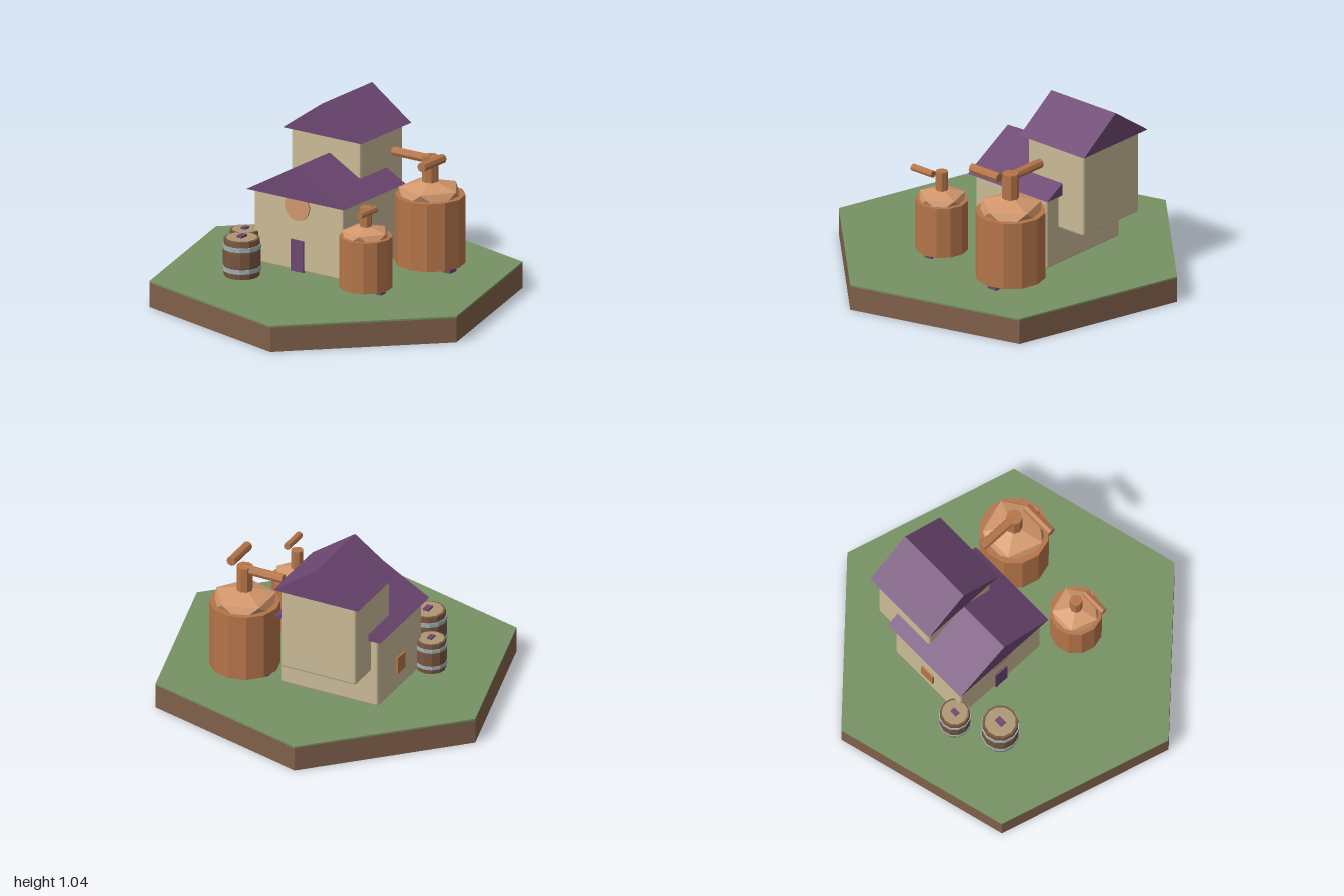
import * as THREE from 'three';
import { RoundedBoxGeometry } from 'three/addons/geometries/RoundedBoxGeometry.js';

function mat(name, color) {
  const m = new THREE.MeshStandardMaterial({ color, flatShading: true });
  m.name = name;
  return m;
}

export function createModel() {
  const earth = mat('earth', 0x80604a);
  const grass = mat('grass', 0x779163);
  const plaster = mat('plaster', 0xcabb97);
  const purple = mat('purple', 0x6d4772);
  const copper = mat('copper', 0xb57549);
  const paleCopper = mat('paleCopper', 0xd2976c);
  const wood = mat('wood', 0x775640);
  const lidWood = mat('lidWood', 0xad9672);
  const steel = mat('steel', 0x9fb0b3);

  const root = new THREE.Group();
  root.name = 'distillery';

  function add(parent, name, geometry, material, x = 0, y = 0, z = 0) {
    const mesh = new THREE.Mesh(geometry, material);
    mesh.name = name;
    mesh.position.set(x, y, z);
    parent.add(mesh);
    return mesh;
  }
  function group(name, x = 0, y = 0, z = 0) {
    const g = new THREE.Group();
    g.name = name;
    g.position.set(x, y, z);
    root.add(g);
    return g;
  }
  const box = (w, h, d) => new THREE.BoxGeometry(w, h, d);
  const cyl = (r, h, sides) => new THREE.CylinderGeometry(r, r, h, sides);

  // Hexagonal island
  const hexagon = (h) => new THREE.CylinderGeometry(1.035, 1.035, h, 6, 1, false, Math.PI / 12);
  add(root, 'earthSlab', hexagon(0.14), earth, 0, 0.07, 0);
  add(root, 'grassTop', hexagon(0.01), grass, 0, 0.145, 0);

  // Solid gable roof with its ridge along z
  function gable(width, height, depth) {
    const s = new THREE.Shape();
    s.moveTo(-width / 2, 0);
    s.lineTo(width / 2, 0);
    s.lineTo(0, height);
    s.closePath();
    return new THREE.ExtrudeGeometry(s, { depth, bevelEnabled: false }).translate(0, 0, -depth / 2);
  }

  // House: low front hall and overhanging rear tower
  const house = group('house');
  add(house, 'hallWalls', new RoundedBoxGeometry(0.6, 0.43, 0.52, 1, 0.012), plaster, -0.168, 0.365, -0.14);
  add(house, 'hallRoof', gable(0.66, 0.185, 0.58), purple, -0.168, 0.57, -0.14);
  add(house, 'towerWalls', new RoundedBoxGeometry(0.46, 0.5, 0.405, 1, 0.012), plaster, -0.195, 0.615, -0.38);
  add(house, 'towerRoof', gable(0.525, 0.185, 0.47), purple, -0.195, 0.855, -0.38);
  add(house, 'door', box(0.085, 0.18, 0.02), purple, -0.168, 0.24, 0.12);
  add(house, 'roundWindow', cyl(0.083, 0.02, 12).rotateX(Math.PI / 2), paleCopper, -0.168, 0.525, 0.12);
  add(house, 'sideWindow', box(0.02, 0.1, 0.09), copper, -0.468, 0.3, -0.14);

  // Copper still: pot, faceted dome, neck and two purple feet
  function still(name, x, z, s) {
    const g = group(name, x, 0.15, z);
    const r = 0.195 * s, bottom = 0.035 * s, top = 0.425 * s;
    add(g, 'pot', cyl(r, top - bottom, 12), copper, 0, (top + bottom) / 2, 0);
    const golden = (1 + Math.sqrt(5)) / 2;
    const dome = new THREE.IcosahedronGeometry(r, 0)
      .rotateZ(-Math.atan(1 / golden))
      .scale(1, 0.45, 1);
    add(g, 'dome', dome, paleCopper, 0, top, 0);
    add(g, 'neck', cyl(0.046 * s, 0.17 * s, 8), copper, 0, top + 0.135 * s, 0);
    for (const side of [-1, 1]) {
      add(g, 'foot', box(0.05 * s, 0.06 * s, 0.06 * s), purple, side * 0.13 * s, 0.03 * s, 0);
    }
    // Outlet pipe beside the neck, running forward
    add(g, 'forwardPipe', cyl(0.027 * s, 0.2 * s, 8).rotateX(Math.PI / 2), copper,
      0.087 * s, top + 0.22 * s, 0.105 * s);
    return g;
  }
  const largeStill = still('largeStill', 0.38, -0.355, 1);
  add(largeStill, 'housePipe', cyl(0.027, 0.245, 8).rotateZ(Math.PI / 2), copper, -0.122, 0.624, 0);
  still('smallStill', 0.335, 0.187, 0.75);

  // Barrels with hoops, lid and bung
  function barrel(name, x, z, s) {
    const g = group(name, x, 0.15, z);
    g.scale.setScalar(s);
    const profile = [[0, 0], [0.098, 0], [0.104, 0.07], [0.104, 0.145], [0.098, 0.215], [0, 0.215]]
      .map(([r, y]) => new THREE.Vector2(r, y));
    add(g, 'staves', new THREE.LatheGeometry(profile, 12), wood);
    for (const y of [0.045, 0.17]) add(g, 'hoop', cyl(0.106, 0.025, 12), steel, 0, y, 0);
    add(g, 'lid', cyl(0.086, 0.006, 12), lidWood, 0, 0.215, 0);
    add(g, 'bung', box(0.034, 0.014, 0.05), purple, 0, 0.224, 0);
  }
  barrel('largeBarrel', -0.385, 0.35, 1);
  barrel('smallBarrel', -0.52, 0.13, 0.84);

  return root;
}
